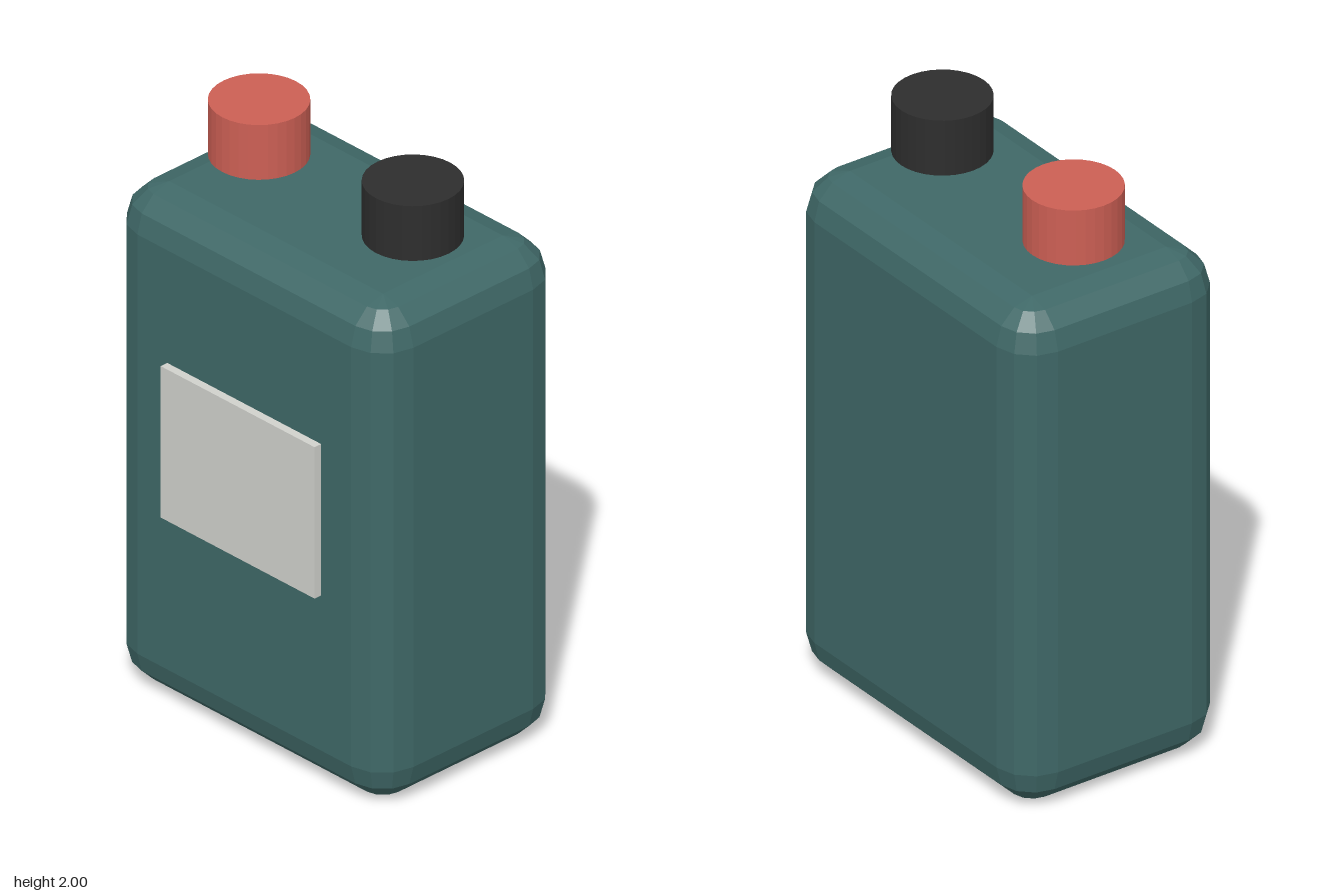
import * as THREE from 'three';

const BEVEL = 0.135, STEPS = 3, CENTRE_Z = -0.014;

// Box with bevelled edges: stacked rounded-rectangle rings, closed by flat caps.
function bevelledBox(width, height, depth) {
  const inner = [width / 2 - BEVEL, height / 2 - BEVEL, depth / 2 - BEVEL];
  const positions = [], index = [];
  const ringSize = 4 * (STEPS + 1), rings = 2 * (STEPS + 1);
  const signs = [[1, 1], [-1, 1], [-1, -1], [1, -1]];
  for (let j = 0; j < rings; j++) {
    const upper = j > STEPS;
    const tilt = ((upper ? j - 1 : j) / STEPS - 1) * Math.PI / 2;
    const r = BEVEL * Math.cos(tilt);
    const y = (upper ? inner[1] : -inner[1]) + BEVEL * Math.sin(tilt);
    signs.forEach(([sx, sz], corner) => {
      for (let k = 0; k <= STEPS; k++) {
        const a = (corner + k / STEPS) * Math.PI / 2;
        positions.push(sx * inner[0] + r * Math.cos(a), y, sz * inner[2] + r * Math.sin(a));
      }
    });
  }
  for (let j = 0; j < rings - 1; j++) {
    for (let i = 0; i < ringSize; i++) {
      const next = (i + 1) % ringSize;
      const a = j * ringSize + i, b = j * ringSize + next;
      const c = a + ringSize, d = b + ringSize;
      const cornerPatch = i % (STEPS + 1) < STEPS;
      // the end rings shrink to single corner points, so skip their empty triangles
      if (!(cornerPatch && j === 0)) index.push(a, c, b);
      if (!(cornerPatch && j === rings - 2)) index.push(b, c, d);
    }
  }
  const [p, q, s, t] = [0, 1, 2, 3].map((n) => n * (STEPS + 1));
  const top = (rings - 1) * ringSize;
  index.push(p, q, s, p, s, t);
  index.push(top + p, top + s, top + q, top + p, top + t, top + s);
  const indexed = new THREE.BufferGeometry();
  indexed.setAttribute('position', new THREE.Float32BufferAttribute(positions, 3));
  indexed.setIndex(index);
  const geometry = indexed.toNonIndexed();
  geometry.computeVertexNormals();
  return geometry;
}

function material(name, color) {
  const m = new THREE.MeshStandardMaterial({ color, flatShading: true });
  m.name = name;
  return m;
}

export function createModel() {
  const group = new THREE.Group();
  group.name = 'canister';
  const teal = material('teal', 0x3f6867);
  const red = material('coral red', 0xcc5f54);
  const black = material('black', 0x2d2d2d);
  const pale = material('pale grey', 0xd0d1cc);

  function add(name, geometry, mat, x, y, z) {
    const mesh = new THREE.Mesh(geometry, mat);
    mesh.name = name;
    mesh.position.set(x, y, z);
    group.add(mesh);
  }

  // Tank body
  add('body', bevelledBox(1.214, 1.757, 0.778), teal, 0, 0.8785, CENTRE_Z);

  // Two caps hovering just above the top
  const cap = new THREE.CylinderGeometry(0.157, 0.157, 0.194, 32);
  add('rightCap', cap, red, -0.34, 1.903, CENTRE_Z);
  add('leftCap', cap, black, 0.34, 1.903, CENTRE_Z);

  // Blank label on the front
  add('label', new THREE.BoxGeometry(0.68, 0.537, 0.04), pale, 0, 0.954, 0.383);

  return group;
}
